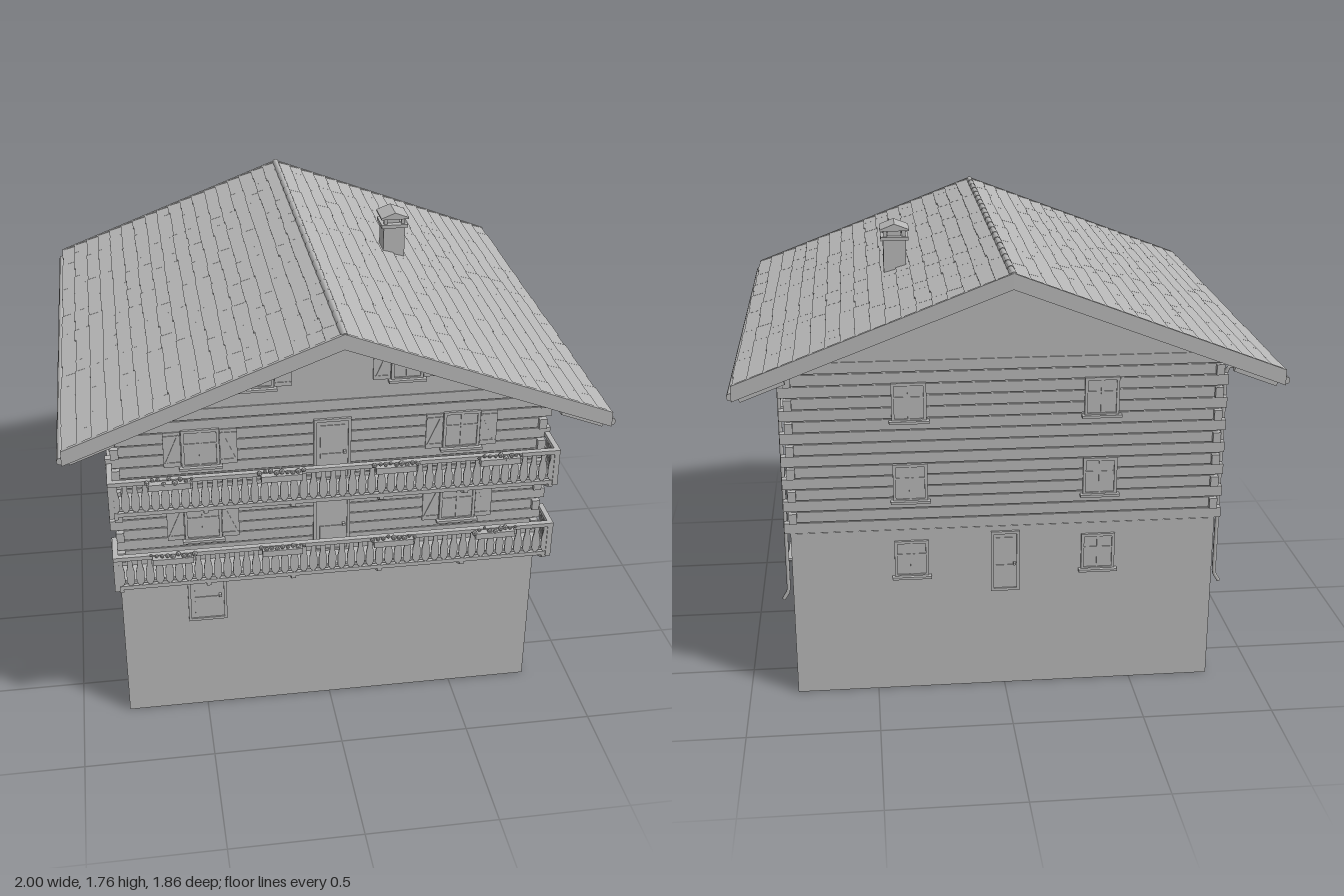
import * as THREE from 'three';
import { mergeGeometries } from 'three/addons/utils/BufferGeometryUtils.js';

const SLOPE = 0.383, PITCH = Math.atan(SLOPE);

export function createModel() {
  const model = new THREE.Group();
  const plaster = new THREE.MeshStandardMaterial({ color: 0xb8b8b8 });
  plaster.name = 'plain grey';

  let seed = 7;
  const rand = () => (seed = (seed * 16807) % 2147483647) / 2147483647;

  const part = (name, geos) => {
    const mesh = new THREE.Mesh(mergeGeometries(geos.map(g => g.index ? g.toNonIndexed() : g)), plaster);
    mesh.name = name;
    model.add(mesh);
  };
  const box = (w, h, d, x, y, z, rz = 0) =>
    new THREE.BoxGeometry(w, h, d).rotateZ(rz).translate(x, y, z);
  const extrude = (pts, depth) => new THREE.ExtrudeGeometry(
    new THREE.Shape(pts.map(p => new THREE.Vector2(...p))), { depth, bevelEnabled: false, curveSegments: 6 });
  const chevron = (top, bottom, half, z, depth) => extrude([
    [0, top], [-half, top - SLOPE * half], [-half, bottom - SLOPE * half],
    [0, bottom], [half, bottom - SLOPE * half], [half, top - SLOPE * half]], depth).translate(0, 0, z);
  const place = (geos, x, y, z, ry) => geos.map(g => g.rotateY(ry).translate(x, y, z));

  // Masonry base and the gabled core behind the logs
  part('masonryBase', [box(1.63, 0.68, 1.38, 0, 0.34, 0)]);
  part('gableWalls', [extrude([[-0.81, 0.68], [0.81, 0.68], [0.81, 1.372], [0, 1.682], [-0.81, 1.372]], 1.376)
    .translate(0, 0, -0.688)]);

  // Log courses, with alternating ends crossing at the corners
  const logs = [];
  for (let i = 0; i < 15; i++) {
    const y = 0.703 + i * 0.045, even = i % 2 === 0;
    for (const s of [-1, 1]) {
      logs.push(box(even ? 1.676 : 1.632, 0.041, 0.03, 0, y, s * 0.678));
      logs.push(box(0.03, 0.041, even ? 1.384 : 1.42, s * 0.803, y, 0));
    }
  }
  part('logWalls', logs);

  // Windows and doors are drawn facing +z, then set on a wall
  const frame = (w, h) => {
    const b = 0.011, g = [box(w, h, 0.004, 0, 0, 0.002)];
    for (const s of [-1, 1]) {
      g.push(box(b, h, 0.01, s * (w - b) / 2, 0, 0.005));
      g.push(box(w, b, 0.01, 0, s * (h - b) / 2, 0.005));
    }
    return g;
  };
  const windowUnit = (w, h, shutters) => {
    const g = frame(w, h);
    g.push(box(0.009, h, 0.008, 0, 0, 0.004), box(w, 0.006, 0.007, 0, h * 0.12, 0.0035));
    g.push(box(w + 0.02, 0.01, 0.024, 0, -h / 2, 0.012));
    if (shutters) for (const s of [-1, 1]) {
      const x = s * (w / 2 + 0.034);
      g.push(box(0.064, h - 0.01, 0.005, x, 0, 0.0025));
      g.push(box(0.008, h * 0.85, 0.008, x, 0, 0.004, s * 0.4));
      for (const t of [-1, 1]) g.push(box(0.06, 0.008, 0.008, x, t * h * 0.36, 0.004));
    }
    return g;
  };
  const doorUnit = (w, h) => [...frame(w, h), box(w * 0.65, h * 0.35, 0.007, 0, -h * 0.24, 0.0035),
    box(w * 0.65, h * 0.35, 0.007, 0, h * 0.22, 0.0035), box(0.01, 0.01, 0.018, w * 0.33, -0.01, 0.009)];

  const rows = [0.56, 0.875, 1.195], sideWindows = [], backWindows = [], frontWindows = [];
  for (const y of rows) {
    const out = y > 0.68 ? 0.003 : 0;
    for (const s of [-1, 1]) {
      for (const z of [-0.42, 0, 0.42])
        sideWindows.push(...place(windowUnit(0.14, 0.15, true), s * (0.815 + out), y, z, s * Math.PI / 2));
      backWindows.push(...place(windowUnit(0.13, 0.15, false), s * 0.36, y, -0.69 - out, Math.PI));
      if (out) frontWindows.push(...place(windowUnit(0.14, 0.155, true), s * 0.49, y, 0.693, 0));
    }
  }
  for (const s of [-1, 1])
    frontWindows.push(...place(windowUnit(0.12, 0.13, true), s * 0.275, 1.485, 0.688, 0));
  part('sideWindows', sideWindows);
  part('backWindows', backWindows);
  part('frontWindows', frontWindows);
  part('doors', [
    ...place(doorUnit(0.14, 0.26), 0, 1.15, 0.693, 0),
    ...place(doorUnit(0.14, 0.26), 0, 0.83, 0.693, 0),
    ...place(doorUnit(0.15, 0.25), -0.485, 0.545, 0.69, 0),
    ...place(doorUnit(0.11, 0.25), 0, 0.535, -0.69, Math.PI)]);
  part('wallLamp', [box(0.016, 0.04, 0.02, -0.37, 0.645, 0.70)]);

  // Two balconies: deck, cut-out slats, handrails, brackets and flower boxes
  const slatPoints = [[-0.009, 0.115], [-0.009, 0.09], [-0.015, 0.06], [-0.015, 0.018], [-0.008, 0.004], [0, 0],
    [0.008, 0.004], [0.015, 0.018], [0.015, 0.06], [0.009, 0.09], [0.009, 0.115]].reverse();
  for (const base of [0.69, 1.01]) {
    const rails = [], slats = [], brackets = [], flowers = [];
    part('balconyDeck', [box(1.65, 0.016, 0.14, 0, base + 0.005, 0.76)]);
    rails.push(box(1.67, 0.016, 0.022, 0, base + 0.138, 0.828), box(1.66, 0.01, 0.012, 0, base + 0.025, 0.82));
    for (let i = 0; i < 46; i++)
      slats.push(extrude(slatPoints, 0.006).translate(-0.81 + i * 0.036, base + 0.015, 0.826));
    for (const s of [-1, 1]) {
      rails.push(box(0.02, 0.016, 0.14, s * 0.825, base + 0.138, 0.765));
      rails.push(box(0.02, 0.15, 0.02, s * 0.825, base + 0.07, 0.825));
      for (let i = 0; i < 4; i++)
        slats.push(box(0.007, 0.115, 0.018, s * 0.825, base + 0.073, 0.715 + i * 0.027));
    }
    for (const x of [-0.81, -0.485, -0.165, 0.165, 0.485, 0.81])
      brackets.push(extrude([[-0.69, base], [-0.83, base], [-0.83, base - 0.014], [-0.79, base - 0.035],
        [-0.74, base - 0.042], [-0.69, base - 0.065]], 0.016).rotateY(Math.PI / 2).translate(x - 0.008, 0, 0));
    for (const x of [-0.615, -0.21, 0.21, 0.6]) {
      flowers.push(box(0.15, 0.025, 0.026, x, base + 0.13, 0.853));
      for (let i = 0; i < 9; i++)
        flowers.push(new THREE.IcosahedronGeometry(0.007 + rand() * 0.005, 0)
          .translate(x - 0.08 + i * 0.02, base + 0.142 + rand() * 0.016, 0.848 + rand() * 0.014));
    }
    part('balconyRails', rails);
    part('balconySlats', slats);
    part('balconyBrackets', brackets);
    part('flowerBoxes', flowers);
  }

  // Roof slab, bargeboards and the ridge tiles
  part('roofSlab', [chevron(1.714, 1.68, 0.97, -0.92, 1.84)]);
  part('bargeboards', [chevron(1.73, 1.672, 0.982, 0.918, 0.014), chevron(1.73, 1.672, 0.982, -0.932, 0.014)]);
  const ridge = [];
  for (let i = 0; i < 20; i++)
    ridge.push(new THREE.CylinderGeometry(0.012, 0.014, 0.098, 8).rotateX(Math.PI / 2)
      .translate(0, 1.721, -0.88 + i * 0.0926));
  part('ridgeTiles', ridge);

  // Overlapping shingle courses with uneven lower edges
  const shingles = [];
  for (const s of [-1, 1]) for (let k = 0; k < 18; k++) {
    const x = (k + 0.5) * 0.054;
    for (let i = 0; i < 20; i++) {
      const xi = x + rand() * 0.006;
      shingles.push(box(0.064, 0.009, 0.0918, s * xi, 1.722 - SLOPE * xi, -0.8721 + i * 0.0918, -s * (PITCH - 0.09)));
    }
  }
  part('roofShingles', shingles);

  // Rafter tails, gutters and downpipes
  const rafters = [], gutters = [], pipes = [];
  for (const s of [-1, 1]) {
    for (let i = 0; i < 17; i++)
      rafters.push(box(0.17, 0.028, 0.02, s * 0.88, 1.667 - SLOPE * 0.88, -0.9 + i * 0.1125, -s * PITCH));
    gutters.push(new THREE.CylinderGeometry(0.014, 0.014, 1.85, 8).rotateX(Math.PI / 2).translate(s * 0.985, 1.312, 0));
    const path = new THREE.CurvePath();
    const pts = [[0.985, 1.305], [0.96, 1.295], [0.845, 1.285], [0.834, 1.26], [0.834, 0.43], [0.855, 0.395]]
      .map(([x, y]) => new THREE.Vector3(s * x, y, -0.66));
    for (let i = 1; i < pts.length; i++) path.add(new THREE.LineCurve3(pts[i - 1], pts[i]));
    pipes.push(new THREE.TubeGeometry(path, 60, 0.008, 6));
  }
  part('rafterTails', rafters);
  part('gutters', gutters);
  part('downpipes', pipes);

  // Chimney with a small pitched cap on posts
  const cx = 0.385, cz = -0.165, chimney = [box(0.088, 0.16, 0.088, cx, 1.615, cz), box(0.108, 0.014, 0.104, cx, 1.698, cz)];
  for (const s of [-1, 1]) for (const t of [-1, 1])
    chimney.push(box(0.014, 0.035, 0.014, cx + s * 0.036, 1.718, cz + t * 0.034));
  chimney.push(box(0.05, 0.035, 0.05, cx, 1.718, cz));
  chimney.push(extrude([[-0.057, 1.73], [0.057, 1.73], [0.057, 1.736], [0, 1.758], [-0.057, 1.736]], 0.114)
    .translate(cx, 0, cz - 0.057));
  part('chimney', chimney);

  // Stepped masonry block against the left wall
  part('sideBlock', [extrude([[-0.4, 0.385], [-0.1, 0.385], [-0.1, 0.44], [-0.12, 0.44], [-0.12, 0.485], [-0.138, 0.485],
    [-0.138, 0.535], [-0.365, 0.535], [-0.365, 0.485], [-0.38, 0.485], [-0.38, 0.435], [-0.4, 0.435]], 0.06)
    .rotateY(Math.PI / 2).translate(0.81, 0, 0)]);

  return model;
}
